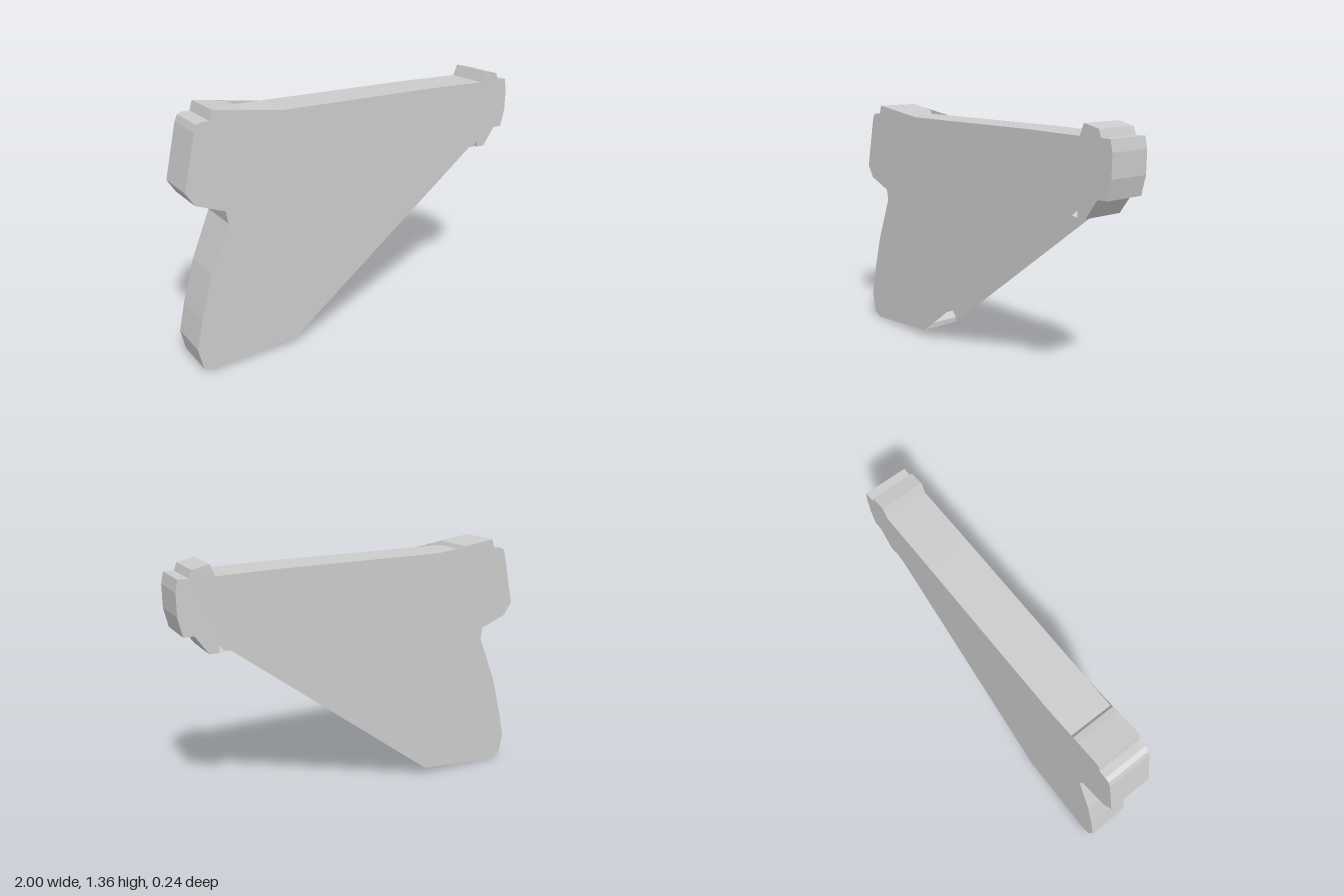
import * as THREE from 'three';

const HALF = 0.12; // half thickness

// Outline pieces, counter-clockwise as [x, y]
const base = [[-0.97, 0.025], [-0.915, 0], [-0.43, 0.04]];

// Recessed underside: grip front, guard, then the stepped rail
const gripAndGuard = [
  [-0.43, 0.07], [-0.46, 0.105], [-0.38, 0.38], [-0.34, 0.44], [-0.36, 0.545],
  [-0.12, 0.60], [0.12, 0.61], [0.19, 0.66], [0.205, 0.715], [0.26, 0.89], [0.36, 0.92],
];
const railTeeth = [];
for (let i = 3; i >= 0; i--) {
  const x = 0.80 - i * 0.095;
  if (i < 3) railTeeth.push([x, 0.92]);
  railTeeth.push([x, 0.955]);
  if (i > 0) railTeeth.push([x + 0.055, 0.925]);
}
railTeeth.unshift([0.475, 0.925]);

const nose = [
  [0.80, 0.92], [0.85, 0.92], [0.92, 1.02], [0.975, 1.02], [0.998, 1.12], [0.998, 1.24],
  [0.985, 1.30], [0.93, 1.30], [0.915, 1.34], [0.825, 1.36], [0.80, 1.30],
  [0.45, 1.307], [-0.48, 1.31],
];
const rearSight = [[-0.65, 1.31], [-0.665, 1.333], [-0.70, 1.34]];
const rear = [
  [-0.84, 1.36], [-0.855, 1.31], [-0.895, 1.31], [-0.92, 1.30], [-0.935, 1.265],
  [-1, 0.98], [-0.955, 0.91], [-0.80, 0.85], [-0.79, 0.785],
  [-0.895, 0.53], [-0.96, 0.30], [-0.995, 0.14],
];

// Side plates span straight over the recesses; the rim follows them
const plateOutline = [...base, [0.74, 0.925], [0.765, 0.925], [0.80, 0.955], ...nose, ...rear];
const rimOutline = [...base, ...gripAndGuard, ...railTeeth, ...nose, ...rearSight, ...rear];

function rimGeometry(points) {
  const pos = [];
  points.forEach(([ax, ay], i) => {
    const [bx, by] = points[(i + 1) % points.length];
    pos.push(ax, ay, -HALF, bx, by, -HALF, bx, by, HALF);
    pos.push(ax, ay, -HALF, bx, by, HALF, ax, ay, HALF);
  });
  const geometry = new THREE.BufferGeometry();
  geometry.setAttribute('position', new THREE.Float32BufferAttribute(pos, 3));
  geometry.computeVertexNormals();
  return geometry;
}

export function createModel() {
  const group = new THREE.Group();
  group.name = 'body';
  const material = new THREE.MeshStandardMaterial({
    color: 0xcccccc, flatShading: true, side: THREE.DoubleSide,
  });

  // Front and back plates
  const shape = new THREE.Shape(plateOutline.map(([x, y]) => new THREE.Vector2(x, y)));
  for (const front of [true, false]) {
    const geometry = new THREE.ShapeGeometry(shape);
    if (!front) {
      // reverse the winding so the back plate faces -z
      geometry.setIndex(Array.from(geometry.index.array).reverse());
      geometry.computeVertexNormals();
    }
    const plate = new THREE.Mesh(geometry, material);
    plate.name = front ? 'frontPlate' : 'backPlate';
    plate.position.z = front ? HALF : -HALF;
    group.add(plate);
  }

  // Edge wall between the plates
  const rim = new THREE.Mesh(rimGeometry(rimOutline), material);
  rim.name = 'rim';
  group.add(rim);
  return group;
}
